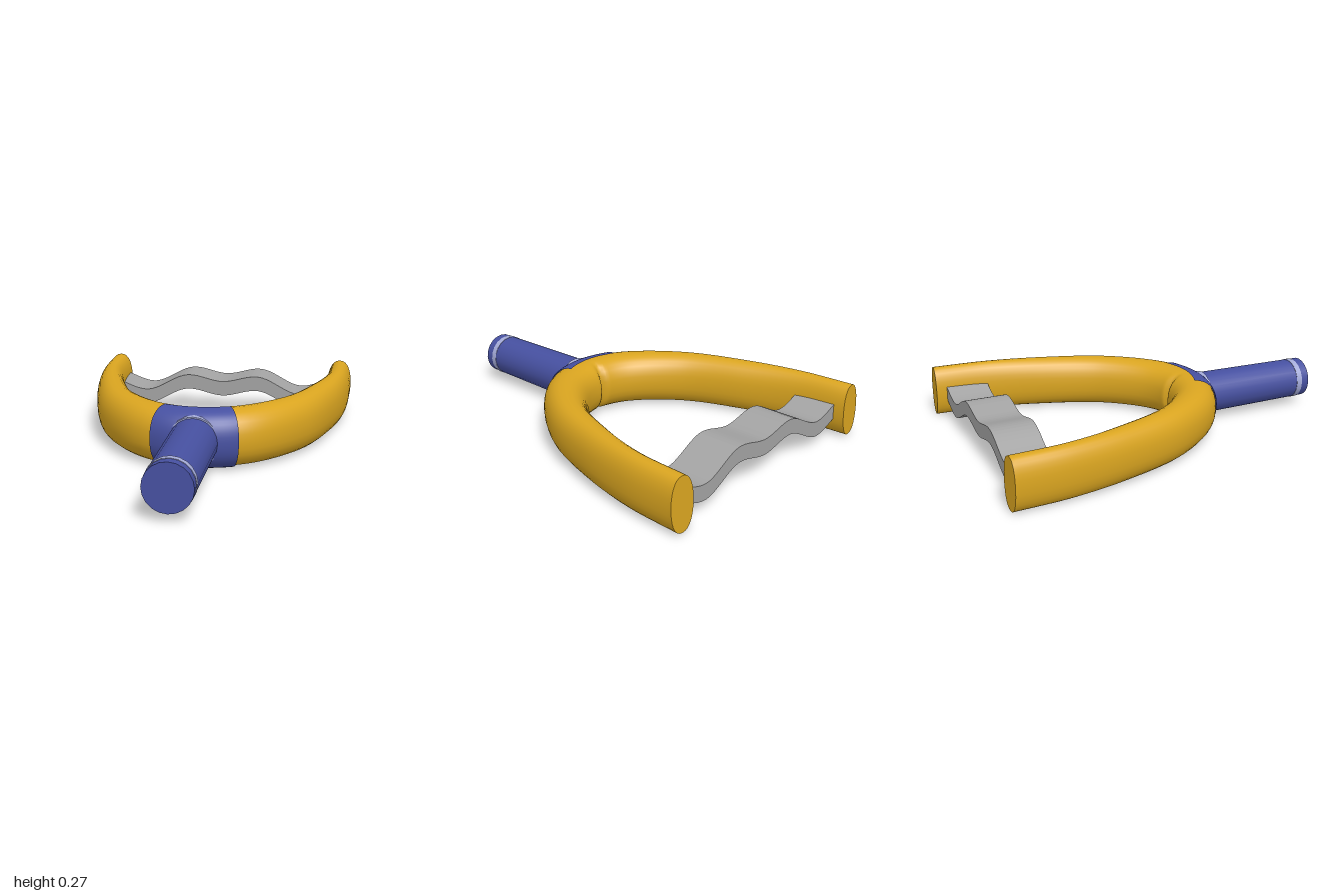
import * as THREE from 'three';

const MID = 0.135; // height of the centre plane

// Skin a list of rings; closed rings get flat end caps
function skin(rings, closed) {
  const n = rings[0].length, pos = [], idx = [];
  rings.forEach(r => r.forEach(p => pos.push(p.x, p.y, p.z)));
  const cols = closed ? n : n - 1;
  for (let i = 0; i < rings.length - 1; i++) {
    for (let j = 0; j < cols; j++) {
      const a = i * n + j, b = i * n + (j + 1) % n;
      idx.push(a, b, a + n, b, b + n, a + n);
    }
  }
  if (closed) {
    [rings[0], rings[rings.length - 1]].forEach((ring, end) => {
      const c = ring.reduce((s, p) => s.add(p), new THREE.Vector3()).divideScalar(n);
      const base = pos.length / 3;
      [c, ...ring].forEach(p => pos.push(p.x, p.y, p.z));
      for (let j = 0; j < n; j++) {
        const a = base + 1 + j, b = base + 1 + (j + 1) % n;
        if (end) idx.push(base, a, b);
        else idx.push(base, b, a);
      }
    });
  }
  const g = new THREE.BufferGeometry();
  g.setAttribute('position', new THREE.Float32BufferAttribute(pos, 3));
  g.setIndex(idx);
  g.computeVertexNormals();
  return g;
}

// Centre line of the bow: x, half width, z (one side, then mirrored)
const half = [
  [0.606, 0.062, -0.685], [0.586, 0.064, -0.4], [0.52, 0.078, -0.12],
  [0.395, 0.093, 0.195], [0.19, 0.112, 0.42],
].map(p => new THREE.Vector3(...p));
const bowPath = new THREE.CatmullRomCurve3([
  ...half, new THREE.Vector3(0, 0.116, 0.478),
  ...half.slice().reverse().map(p => new THREE.Vector3(-p.x, p.y, p.z)),
]);

// Rounded cross-section of the bow at t, between two angles
function bowRing(t, from, to, count, grow) {
  const p = bowPath.getPoint(t), d = bowPath.getTangent(t);
  const len = Math.hypot(d.x, d.z), nx = d.z / len, nz = -d.x / len;
  const notch = 0.03 * Math.exp(-(((t - 0.5) / 0.012) ** 2));
  const round = v => Math.sign(v) * Math.abs(v) ** 0.88;
  const ring = [];
  for (let j = 0; j < count; j++) {
    const a = from + (to - from) * j / count;
    const c = Math.cos(a);
    const w = (p.y + grow - (c < 0 ? notch : 0)) * round(c);
    const h = (0.128 + grow) * round(Math.sin(a));
    ring.push(new THREE.Vector3(p.x + nx * w, MID + h, p.z + nz * w));
  }
  return ring;
}

function bowSkin(t0, t1, steps, from, to, count, grow, closed) {
  const rings = [];
  for (let i = 0; i <= steps; i++) {
    rings.push(bowRing(t0 + (t1 - t0) * i / steps, from, to, count, grow));
  }
  return skin(rings, closed);
}

export function createModel() {
  const mat = (name, color, side = THREE.FrontSide) => {
    const m = new THREE.MeshStandardMaterial({ color, side });
    m.name = name;
    return m;
  };
  const yellow = mat('yellow', 0xdaa520);
  const blue = mat('blue', 0x4650a0, THREE.DoubleSide);
  const grey = mat('grey', 0xa3a3a3);
  const pale = mat('pale blue', 0xa4abd8);

  const model = new THREE.Group();
  model.name = 'bowScraper';
  const tool = new THREE.Group();
  tool.name = 'tool';
  tool.rotation.y = 0.55;
  tool.position.set(0.104, 0, -0.064);
  model.add(tool);
  const add = (name, geometry, material) => {
    const m = new THREE.Mesh(geometry, material);
    m.name = name;
    tool.add(m);
    return m;
  };

  // Bow and the saddle wrapped over its outer side
  add('bow', bowSkin(0, 1, 120, 0, Math.PI * 2, 28, 0, true), yellow);
  add('saddle', bowSkin(0.425, 0.575, 24, -1.65, 1.7, 24, 0.006, false), blue);

  // Round rod along z with slightly different radii at its ends
  const rod = (name, z0, z1, r0, r1, material) => {
    const g = new THREE.CylinderGeometry(r1, r0, z1 - z0, 20);
    g.rotateX(Math.PI / 2);
    g.translate(0, MID, (z0 + z1) / 2);
    return add(name, g, material);
  };
  rod('handle', 0.48, 1.177, 0.108, 0.101, blue);
  rod('collarStripe', 0.545, 0.578, 0.115, 0.113, pale);
  rod('endStripe', 1.105, 1.135, 0.1035, 0.1035, pale);

  // Wavy blade between the two arms
  const wave = new THREE.CatmullRomCurve3([
    [-0.57, 0.14], [-0.4, 0.09], [-0.19, 0.175], [0, 0.145],
    [0.19, 0.175], [0.4, 0.09], [0.57, 0.14],
  ].map(([x, y]) => new THREE.Vector3(x, y, 0))).getPoints(60);
  const t = 0.0375;
  const outline = new THREE.Shape([
    ...wave.map(p => new THREE.Vector2(p.x, p.y - t)),
    ...wave.slice().reverse().map(p => new THREE.Vector2(p.x, p.y + t)),
  ]);
  const blade = new THREE.ExtrudeGeometry(outline, { depth: 0.215, bevelEnabled: false });
  blade.translate(0, 0, -0.635);
  add('blade', blade, grey);

  return model;
}
